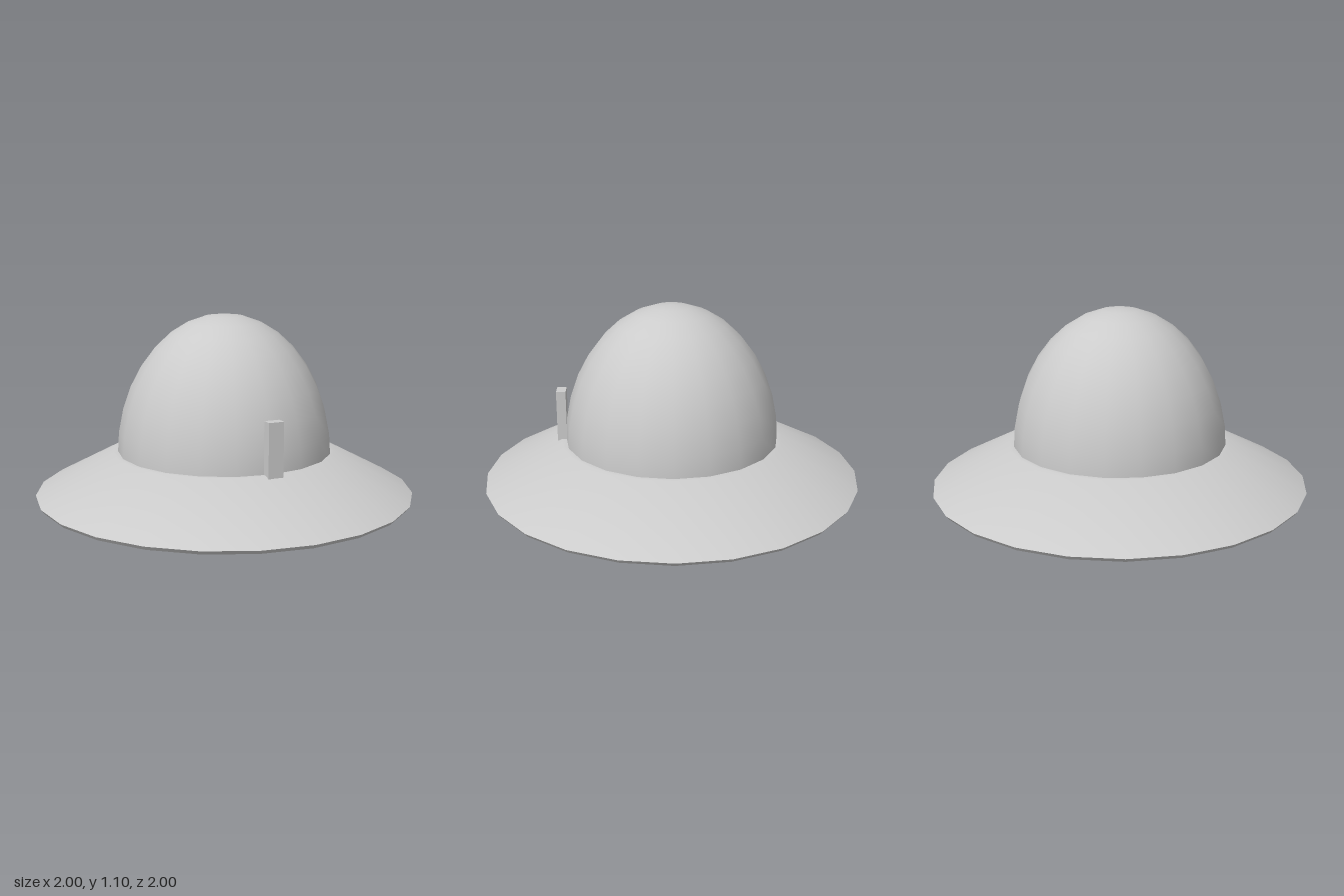
import * as THREE from 'three';
import { toCreasedNormals } from 'three/addons/utils/BufferGeometryUtils.js';

export function createModel() {
  const hat = new THREE.Group();
  hat.name = 'brimmedHelmet';
  const metal = new THREE.MeshStandardMaterial({ color: 0xcccccc });

  const add = (name, geometry, x = 0, y = 0, z = 0, parent = hat) => {
    const mesh = new THREE.Mesh(geometry, metal);
    mesh.name = name;
    mesh.position.set(x, y, z);
    parent.add(mesh);
    return mesh;
  };

  // Turned part: smooth around, sharp at profile corners
  const turned = (profile, sides) => toCreasedNormals(
    new THREE.LatheGeometry(profile.map(([r, y]) => new THREE.Vector2(r, y)), sides), 0.5);

  // Dome: upper half of a stretched sphere
  const dome = new THREE.SphereGeometry(0.567, 20, 9, Math.PI / 2, Math.PI * 2, 0, Math.PI / 2);
  dome.scale(1, 0.747 / 0.567, 1);
  add('dome', dome, 0, 0.35, 0);

  // Sloping brim with a thin bevelled edge
  add('brim', turned([
    [0.56, 0.315], [0.6, 0.31], [0.985, 0.14], [1, 0.16], [0.59, 0.375], [0.55, 0.375],
  ], 24));

  // Head band, closed at the bottom
  add('headBand', turned([
    [0, 0], [0.583, 0], [0.592, 0.06], [0.597, 0.14], [0.59, 0.33],
  ], 20));

  // Plume holder standing against the front of the dome
  add('frontTab', new THREE.BoxGeometry(0.08, 0.275, 0.05), 0, 0.5025, 0.582);

  // Ring of rivets under the brim
  const rivets = new THREE.Group();
  rivets.name = 'rivets';
  hat.add(rivets);
  const rivet = new THREE.SphereGeometry(0.023, 10, 8);
  for (let i = 0; i < 12; i++) {
    const a = (i / 12) * Math.PI * 2;
    add('rivet', rivet, Math.sin(a) * 0.6, 0.185, Math.cos(a) * 0.6, rivets);
  }

  return hat;
}
